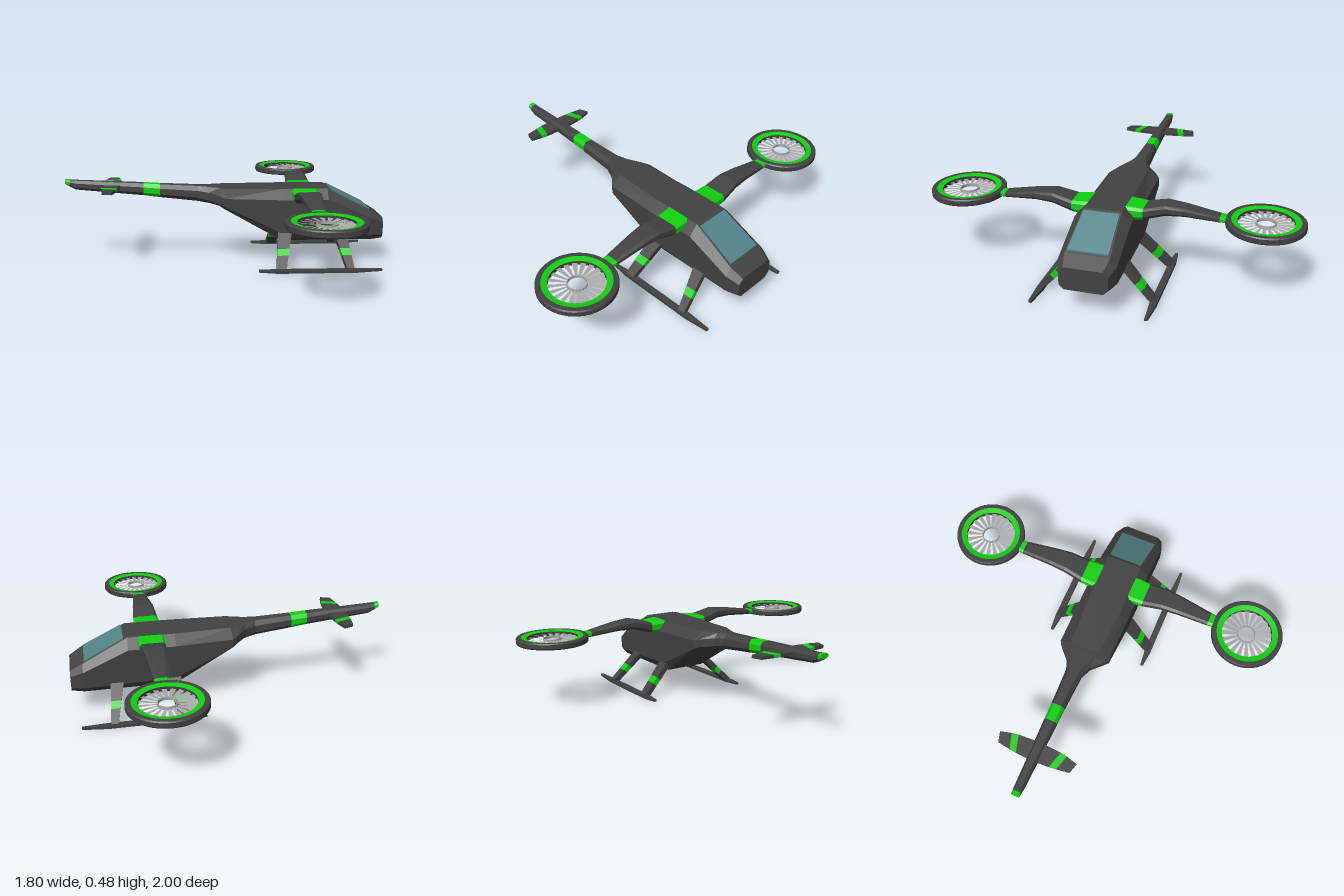
import * as THREE from 'three';

const mat = (color, side = THREE.FrontSide) =>
  new THREE.MeshStandardMaterial({ color, side, flatShading: true });
const dark = mat(0x424242);
const green = mat(0x10d010);
const glass = mat(0x528388, THREE.DoubleSide);
const silver = mat(0xaaaaaa, THREE.DoubleSide);

// Closed, capped skin through a row of equal-length rings of [x, y, z] points
function loft(rings) {
  const tris = [];
  const n = rings[0].length;
  for (let i = 0; i < rings.length - 1; i++) {
    for (let j = 0; j < n; j++) {
      const k = (j + 1) % n;
      const a = rings[i][j], b = rings[i][k], c = rings[i + 1][k], d = rings[i + 1][j];
      tris.push([a, b, c], [a, c, d]);
    }
  }
  const first = rings[0], last = rings[rings.length - 1];
  for (let j = 1; j < n - 1; j++) {
    tris.push([first[0], first[j + 1], first[j]], [last[0], last[j], last[j + 1]]);
  }
  // Turn every face outward, whichever way the rings run
  const v = (p) => new THREE.Vector3(...p);
  const volume = tris.reduce((s, [a, b, c]) => s + v(a).dot(v(b).cross(v(c))), 0);
  if (volume < 0) tris.forEach((t) => t.reverse());
  const geo = new THREE.BufferGeometry();
  geo.setAttribute('position', new THREE.Float32BufferAttribute(tris.flat(2), 3));
  geo.computeVertexNormals();
  return geo;
}

function add(parent, name, geo, material) {
  const mesh = new THREE.Mesh(geo, material);
  mesh.name = name;
  parent.add(mesh);
  return mesh;
}

// Fuselage ring: bottom, side and roof heights with matching half widths
const hull = (x, yb, yl, yh, yt, wb, w, wt) => [
  [x, yb, wb], [x, yl, w], [x, yh, w], [x, yt, wt],
  [x, yt, -wt], [x, yh, -w], [x, yl, -w], [x, yb, -wb],
];
// Slim boom ring
const boom = (x, yb, yt, w) => {
  const h = yt - yb;
  return hull(x, yb, yb + h * 0.25, yb + h * 0.7, yt, w * 0.6, w, w * 0.6);
};

// Wing ring across x with bevelled edges
const wingRing = (z, x0, x1, yb, yt) => {
  const h = yt - yb, c = 0.014;
  return [
    [x0, yb + h * 0.3, z], [x0, yt - h * 0.2, z], [x0 + c, yt, z], [x1 - c, yt, z],
    [x1, yt - h * 0.2, z], [x1, yb + h * 0.3, z], [x1 - c, yb, z], [x0 + c, yb, z],
  ];
};

// Horizontal plate ring: front and rear x at distance z
const plateRing = (z, x0, x1, yb, yt) => [[x0, yb, z], [x0, yt, z], [x1, yt, z], [x1, yb, z]];

function buildBody(root) {
  const body = new THREE.Group();
  body.name = 'body';
  root.add(body);
  const bandRear = boom(-0.46, 0.385, 0.453, 0.036);
  const bandFront = boom(-0.365, 0.373, 0.447, 0.038);
  const tipFront = boom(-0.875, 0.437, 0.474, 0.024);

  add(body, 'tailTip', loft([boom(-0.9, 0.452, 0.478, 0.022), tipFront]), green);
  add(body, 'tailBoom', loft([tipFront, boom(-0.84, 0.42, 0.471, 0.026), bandRear]), dark);
  add(body, 'tailBand', loft([bandRear, bandFront]), green);
  add(body, 'fuselage', loft([
    bandFront,
    boom(-0.15, 0.35, 0.437, 0.047),
    hull(-0.09, 0.342, 0.36, 0.405, 0.434, 0.045, 0.07, 0.045),
    hull(-0.03, 0.332, 0.35, 0.395, 0.432, 0.08, 0.125, 0.07),
    hull(0.0, 0.315, 0.338, 0.385, 0.43, 0.1, 0.148, 0.085),
    hull(0.32, 0.137, 0.185, 0.375, 0.43, 0.12, 0.15, 0.1),
    hull(0.58, 0.137, 0.175, 0.375, 0.43, 0.12, 0.15, 0.1),
    hull(0.83, 0.137, 0.17, 0.265, 0.303, 0.12, 0.15, 0.115),
    hull(0.9, 0.14, 0.165, 0.235, 0.262, 0.1, 0.125, 0.1),
  ]), dark);
  add(body, 'windscreen', loft([
    plateRing(-0.1, 0.6, 0.82, 0, 0.008),
    plateRing(0.1, 0.6, 0.82, 0, 0.008),
  ].map((r) => r.map(([x, y, z]) => [x, y + 0.42 - (x - 0.6) * 0.508, z * (x < 0.7 ? 0.95 : 1.05)]))), glass);
}

// Ducted fan: dark shroud, green lips, open hub ring and flat blades
function buildFan(side, z) {
  const fan = new THREE.Group();
  fan.name = 'fan';
  const ring = (name, pts, m) =>
    add(fan, name, new THREE.LatheGeometry(pts.map(([r, y]) => new THREE.Vector2(r, y)), 48), m);
  const shroudMat = mat(0x424242, THREE.DoubleSide);
  const lipMat = mat(0x10d010, THREE.DoubleSide);
  ring('shroudOuter', [[0.172, -0.018], [0.195, -0.018], [0.2, -0.012], [0.2, 0.012], [0.195, 0.018], [0.172, 0.018]], shroudMat);
  ring('upperLip', [[0.172, 0.018], [0.141, 0.012]], lipMat);
  ring('lowerLip', [[0.141, -0.012], [0.172, -0.018]], lipMat);
  ring('shroudInner', [[0.141, 0.012], [0.141, -0.012]], shroudMat);
  ring('hubRing', [[0.046, -0.008], [0.052, -0.008], [0.052, 0.008], [0.046, 0.008], [0.046, -0.008]], silver);

  // Blades widen outward
  const blade = new THREE.Shape([[0.05, -0.005], [0.142, -0.014], [0.142, 0.014], [0.05, 0.005]]
    .map((p) => new THREE.Vector2(...p)));
  const bladeGeo = new THREE.ShapeGeometry(blade).rotateX(-Math.PI / 2 + 0.15);
  for (let i = 0; i < 20; i++) {
    add(fan, 'blade', bladeGeo, silver).rotation.y = (i / 20) * Math.PI * 2;
  }
  fan.position.set(0.45, 0.398, side * z);
  return fan;
}

function buildSide(root, s) {
  const group = new THREE.Group();
  group.name = s > 0 ? 'frontSide' : 'backSide';
  root.add(group);

  // Arched wing with green root and tip
  const w = (z, ...rest) => wingRing(s * z, ...rest);
  const rootEnd = w(0.19, 0.38, 0.52, 0.365, 0.425);
  const tipStart = w(0.575, 0.412, 0.488, 0.385, 0.416);
  add(group, 'wingRoot', loft([w(0.1, 0.375, 0.525, 0.355, 0.432), rootEnd]), green);
  add(group, 'wing', loft([
    rootEnd,
    w(0.3, 0.39, 0.512, 0.397, 0.451),
    w(0.4, 0.398, 0.503, 0.4, 0.443),
    tipStart,
  ]), dark);
  add(group, 'wingTip', loft([tipStart, w(0.605, 0.415, 0.485, 0.385, 0.414)]), green);
  group.add(buildFan(s, 0.8));

  // Swept stabilizer half with a slanted green band
  const slant = (z, x0, x1) =>
    plateRing(z, x0, x1, 0.428, 0.445).map(([x, y, zz]) => [x, y, s * (zz + (x - x0) * 0.3)]);
  const bandIn = slant(0.095, -0.69, -0.597), bandOut = slant(0.135, -0.685, -0.603);
  add(group, 'stabilizerInner', loft([plateRing(0, -0.695, -0.59, 0.428, 0.445), bandIn]), dark);
  add(group, 'stabilizerBand', loft([bandIn, bandOut]), green);
  add(group, 'stabilizerOuter', loft([bandOut, slant(0.205, -0.675, -0.62)]), dark);

  // Landing skid, tapered at both ends
  const skid = [[0.18, 0.008, 0.009], [0.28, 0.018, 0.004], [0.72, 0.018, 0.004], [0.86, 0.008, 0.009]];
  add(group, 'skid', loft(skid.map(([x, h, yb]) => [
    [x, yb - 0.004, s * (0.3 - h)], [x, 0.017, s * (0.3 - h)],
    [x, 0.017, s * (0.3 + h)], [x, yb - 0.004, s * (0.3 + h)],
  ])), dark);

  // Splayed legs: [x0, x1] at the top and at the foot
  for (const [top, foot] of [[[0.3, 0.38], [0.275, 0.33]], [[0.61, 0.685], [0.665, 0.705]]]) {
    const ring = (t) => {
      const x0 = THREE.MathUtils.lerp(top[0], foot[0], t);
      const x1 = THREE.MathUtils.lerp(top[1], foot[1], t);
      const y = THREE.MathUtils.lerp(0.195, 0.012, t);
      const z = THREE.MathUtils.lerp(0.12, 0.3, t);
      const d = 0.011;
      return [[x0, y - d, s * (z - d)], [x1, y - d, s * (z - d)], [x1, y + d, s * (z + d)], [x0, y + d, s * (z + d)]];
    };
    add(group, 'legUpper', loft([ring(0), ring(0.5)]), dark);
    add(group, 'legBand', loft([ring(0.5), ring(0.67)]), green);
    add(group, 'legLower', loft([ring(0.67), ring(1)]), dark);
  }
}

export function createModel() {
  const model = new THREE.Group();
  model.name = 'rotorcraft';
  buildBody(model);
  for (const s of [1, -1]) buildSide(model, s);
  return model;
}
